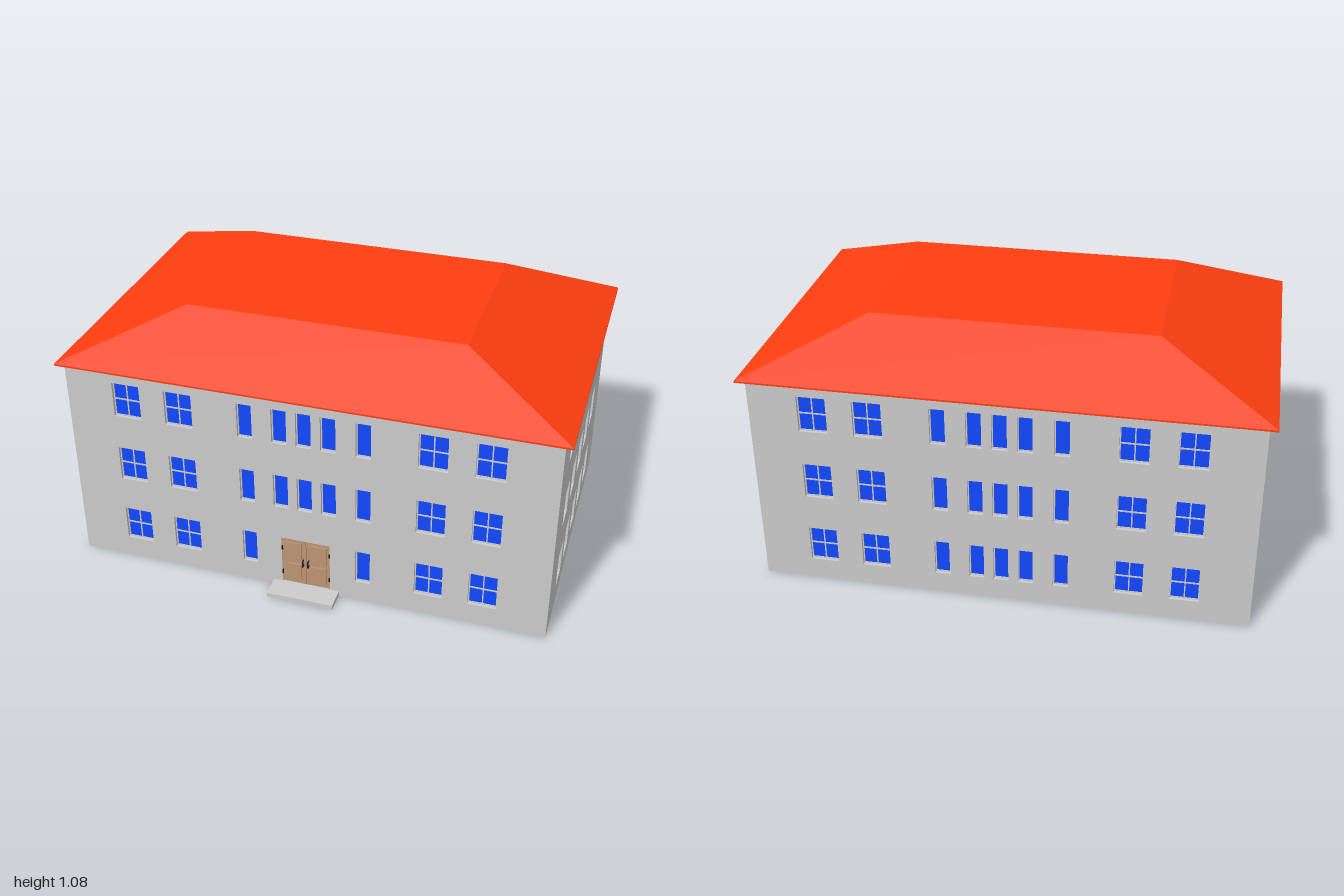
import * as THREE from 'three';

const mat = (color) => new THREE.MeshStandardMaterial({ color });
const grey = mat(0xcccccc), blue = mat(0x1148ff), red = mat(0xff3e10);
const wood = mat(0xbd9573), black = mat(0x151515);

const W = 1.94, D = 1.24, H = 0.89, CZ = -0.03; // body size and its z centre
const T = 0.02; // depth of the window recesses
const ROWS = [0.165, 0.463, 0.76], WIN_H = 0.15, WIDE = 0.113, NARROW = 0.06;

function box(parent, name, material, size, pos) {
  const m = new THREE.Mesh(new THREE.BoxGeometry(...size), material);
  m.position.set(...pos);
  m.name = name;
  parent.add(m);
  return m;
}

function rect(Type, x0, y0, x1, y1) {
  return new Type([[x0, y0], [x1, y0], [x1, y1], [x0, y1]].map((p) => new THREE.Vector2(...p)));
}

// Glass in a slim frame; wide windows also get a glazing cross
function addWindow(parent, x, y, w) {
  const g = new THREE.Group();
  g.name = 'window';
  g.position.set(x, y, -T);
  const f = 0.004, h = WIN_H;
  box(g, 'glass', blue, [w, h, 0.004], [0, 0, 0.002]);
  for (const s of [-1, 1]) {
    box(g, 'frameSide', grey, [f, h, 0.008], [s * (w - f) / 2, 0, 0.004]);
    box(g, 'frameRail', grey, [w, f, 0.008], [0, s * (h - f) / 2, 0.004]);
  }
  if (w === WIDE) {
    box(g, 'mullion', grey, [0.005, h, 0.008], [0, 0, 0.004]);
    box(g, 'glazingBar', grey, [w, 0.005, 0.008], [0, 0, 0.004]);
  }
  parent.add(g);
}

// Wall with window openings; its outer face lies at local z = 0
function makeWall(name, width, windows, door) {
  const g = new THREE.Group();
  g.name = name;
  const shape = rect(THREE.Shape, -width / 2, 0, width / 2, H);
  for (const [x, y, w] of windows) {
    shape.holes.push(rect(THREE.Path, x - w / 2, y - WIN_H / 2, x + w / 2, y + WIN_H / 2));
    addWindow(g, x, y, w);
  }
  if (door) shape.holes.push(rect(THREE.Path, -0.1, 0.02, 0.1, 0.24));
  const wall = new THREE.Mesh(new THREE.ExtrudeGeometry(shape, { depth: T, bevelEnabled: false }), grey);
  wall.position.z = -T;
  wall.name = 'wallPanel';
  g.add(wall);
  return g;
}

// Double door with raised panels, hinges and pull handles
function makeDoor() {
  const g = new THREE.Group();
  g.name = 'door';
  for (const s of [-1, 1]) {
    box(g, 'doorLeaf', wood, [0.099, 0.22, 0.012], [s * 0.0505, 0.13, -0.012]);
    for (const y of [0.078, 0.182])
      box(g, 'doorPanel', wood, [0.066, 0.08, 0.006], [s * 0.052, y, -0.003]);
    for (const y of [0.07, 0.19])
      box(g, 'hinge', black, [0.005, 0.018, 0.006], [s * 0.098, y, -0.001]);
    box(g, 'handle', black, [0.005, 0.03, 0.003], [s * 0.011, 0.13, 0.008]);
    for (const y of [0.117, 0.143])
      box(g, 'handlePost', black, [0.004, 0.004, 0.015], [s * 0.011, y, 0]);
  }
  return g;
}

// Flat-topped hipped roof lofted through rectangular rings
function makeRoof() {
  const rings = [ // y, half width, back z, front z
    [0.888, 1, -0.68, 0.615],
    [0.895, 1, -0.68, 0.615],
    [1.08, 0.555, -0.39, 0.33],
  ].map(([y, x, b, f]) => [[-x, y, f], [x, y, f], [x, y, b], [-x, y, b]]);
  const pos = [];
  const quad = (a, b, c, d) => pos.push(...a, ...b, ...c, ...a, ...c, ...d);
  for (let r = 0; r < 2; r++)
    for (let i = 0; i < 4; i++) {
      const j = (i + 1) % 4;
      quad(rings[r][i], rings[r][j], rings[r + 1][j], rings[r + 1][i]);
    }
  quad(...rings[2]);
  quad(...[...rings[0]].reverse());
  const geo = new THREE.BufferGeometry();
  geo.setAttribute('position', new THREE.Float32BufferAttribute(pos, 3));
  geo.computeVertexNormals();
  const roof = new THREE.Mesh(geo, red);
  roof.name = 'roof';
  return roof;
}

export function createModel() {
  const house = new THREE.Group();
  house.name = 'house';

  // Solid core behind the four wall skins
  box(house, 'core', grey, [W - 2 * T, H, D - 2 * T], [0, H / 2, CZ]);

  // Window layouts
  const columns = [
    ...[-0.72, -0.505, 0.5, 0.715].map((x) => [x, WIDE]),
    ...[-0.235, -0.097, 0, 0.097, 0.235].map((x) => [x, NARROW]),
  ];
  const longSide = ROWS.flatMap((y) => columns.map(([x, w]) => [x, y, w]));
  const shortSide = ROWS.flatMap((y) => [-2, -1, 0, 1, 2].map((i) => [i * 0.182, y, WIDE]));
  const frontSide = longSide.filter(([x, y]) => y > 0.3 || Math.abs(x) > 0.2);

  const front = makeWall('frontWall', W, frontSide, true);
  front.position.z = CZ + D / 2;
  front.add(makeDoor());
  const back = makeWall('backWall', W, longSide);
  back.position.z = CZ - D / 2;
  back.rotation.y = Math.PI;
  house.add(front, back);
  for (const s of [-1, 1]) {
    const side = makeWall(s > 0 ? 'leftWall' : 'rightWall', D - 2 * T, shortSide);
    side.position.set(s * W / 2, 0, CZ);
    side.rotation.y = s * Math.PI / 2;
    house.add(side);
  }

  // Entrance step and roof
  box(house, 'entranceStep', grey, [0.274, 0.02, 0.09], [0, 0.01, 0.635]);
  house.add(makeRoof());
  return house;
}
